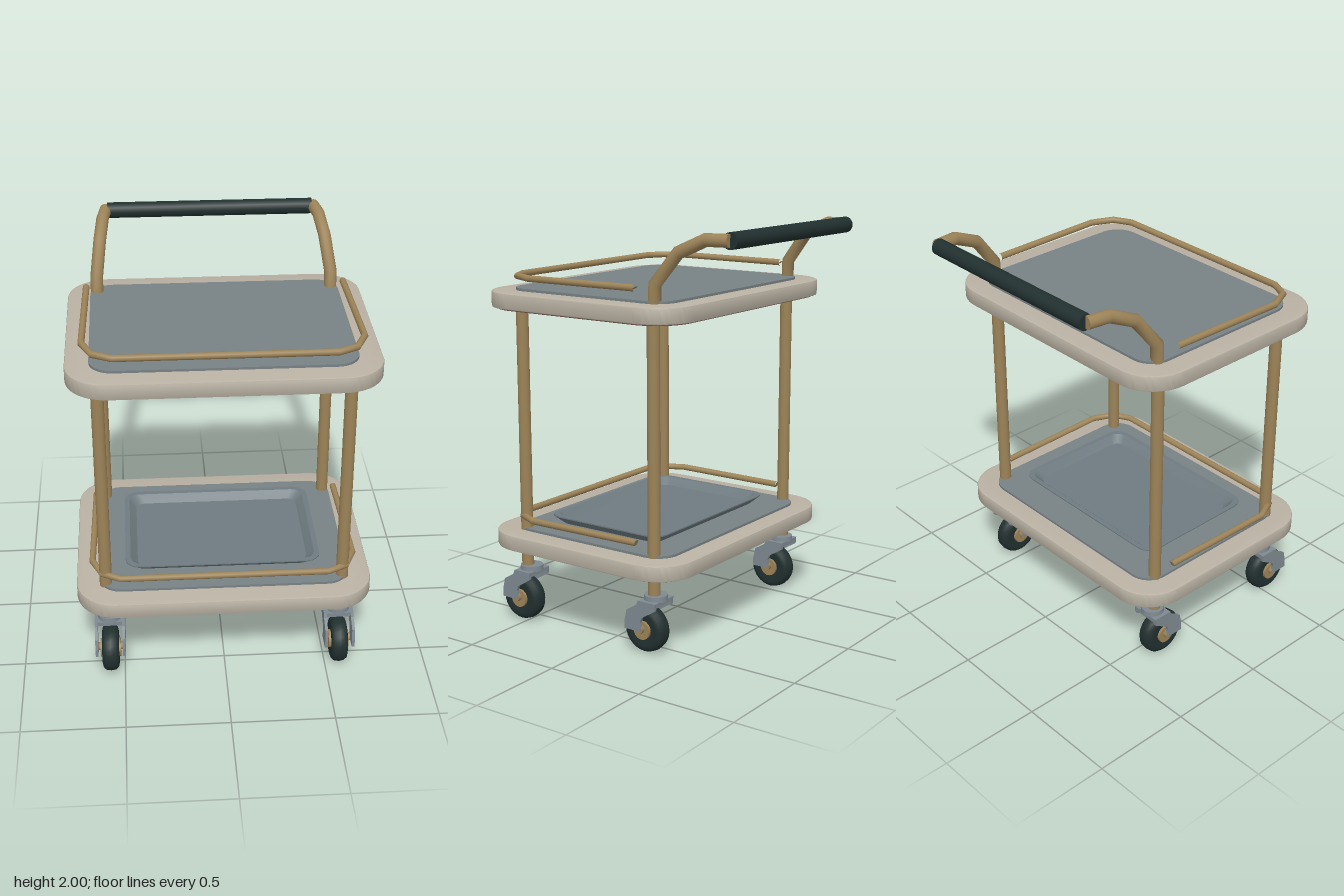
import * as THREE from 'three';
import { toCreasedNormals } from 'three/addons/utils/BufferGeometryUtils.js';

const material = (name, color) => {
  const m = new THREE.MeshStandardMaterial({ color });
  m.name = name;
  return m;
};

// Straight runs joined with mitred corners
class Polyline extends THREE.Curve {
  constructor(points) {
    super();
    this.points = points.map((p) => new THREE.Vector3(...p));
  }
  getPoint(t, target = new THREE.Vector3()) {
    const n = this.points.length - 1;
    const i = Math.min(Math.floor(t * n + 1e-6), n - 1);
    return target.lerpVectors(this.points[i], this.points[i + 1], t * n - i);
  }
  getPointAt(t, target) { return this.getPoint(t, target); }
  getTangentAt(t, target = new THREE.Vector3()) {
    const p = this.points, i = Math.round(t * (p.length - 1));
    target.set(0, 0, 0);
    if (i > 0) target.add(p[i].clone().sub(p[i - 1]).normalize());
    if (i < p.length - 1) target.add(p[i + 1].clone().sub(p[i]).normalize());
    return target.normalize();
  }
}

function roundedRect(hw, hd, r) {
  const s = new THREE.Shape();
  s.absarc(hw - r, hd - r, r, 0, Math.PI / 2);
  s.absarc(-hw + r, hd - r, r, Math.PI / 2, Math.PI);
  s.absarc(-hw + r, -hd + r, r, Math.PI, Math.PI * 1.5);
  s.absarc(hw - r, -hd + r, r, Math.PI * 1.5, Math.PI * 2);
  s.closePath();
  return s;
}

// Horizontal slab standing on y = 0
function slab(shape, height, bevel = 0) {
  const geo = new THREE.ExtrudeGeometry(shape, {
    depth: height - 2 * bevel, curveSegments: 10, bevelEnabled: bevel > 0,
    bevelSize: bevel, bevelThickness: bevel, bevelOffset: -bevel, bevelSegments: 2,
  });
  geo.translate(0, 0, bevel).rotateX(-Math.PI / 2);
  return toCreasedNormals(geo, 0.5);
}

// Skin over rounded rectangles given as [half width, half depth, radius, y]
function loft(sections) {
  const pos = [], index = [], per = 4, n = 4 * (per + 1);
  for (const [hw, hd, r, y] of sections) {
    for (let c = 0; c < 4; c++) for (let k = 0; k <= per; k++) {
      const a = (c + k / per) * Math.PI / 2;
      const sx = c === 0 || c === 3 ? 1 : -1, sz = c < 2 ? 1 : -1;
      pos.push(sx * (hw - r) + r * Math.cos(a), y, -(sz * (hd - r) + r * Math.sin(a)));
    }
  }
  for (let i = 0; i < sections.length - 1; i++) for (let j = 0; j < n; j++) {
    const a = i * n + j, b = i * n + (j + 1) % n;
    index.push(a, b, b + n, a, b + n, a + n);
  }
  const geo = new THREE.BufferGeometry();
  geo.setAttribute('position', new THREE.Float32BufferAttribute(pos, 3));
  geo.setIndex(index);
  return toCreasedNormals(geo, 0.5);
}

export function createModel() {
  const model = new THREE.Group();
  model.name = 'servingCart';
  const beige = material('beige shelf', 0xb9b1a3);
  const tan = material('tan tubing', 0x9c8358);
  const mat = material('grey mat', 0x788184);
  const trayGrey = material('tray grey', 0x6e7b80);
  const steel = material('fork grey', 0x7e8990);
  const dark = material('dark rubber', 0x21302f);
  const brown = material('brown trim', 0x6a4a40);

  const add = (parent, name, geo, mtl, x = 0, y = 0, z = 0) => {
    const mesh = new THREE.Mesh(geo, mtl);
    mesh.name = name;
    mesh.position.set(x, y, z);
    parent.add(mesh);
    return mesh;
  };
  const tube = (parent, name, points, radius) => {
    const path = new Polyline(points);
    add(parent, name, new THREE.TubeGeometry(path, points.length - 1, radius, 14), tan);
    // Flat end caps
    [0, 1].forEach((t) => {
      const cap = add(parent, name + 'Cap', new THREE.CircleGeometry(radius, 14), tan);
      cap.position.copy(path.getPointAt(t));
      cap.lookAt(cap.position.clone().addScaledVector(path.getTangentAt(t), t ? 1 : -1));
    });
  };

  // Shelves with trim, mat and guard rail
  const trimShape = roundedRect(0.695, 0.545, 0.18);
  trimShape.holes.push(roundedRect(0.68, 0.53, 0.165));
  const halfRail = [[0.627, -0.21], [0.641, 0.405], [0.592, 0.515], [0.503, 0.56]];
  const railPath = [...halfRail, ...halfRail.map(([x, z]) => [-x, z]).reverse()];
  [['lowerShelf', 0.4], ['upperShelf', 1.59]].forEach(([name, y]) => {
    const shelf = new THREE.Group();
    shelf.name = name;
    shelf.position.y = y;
    model.add(shelf);
    add(shelf, 'board', slab(roundedRect(0.72, 0.57, 0.2), 0.078, 0.008), beige, 0, 0, 0.11);
    add(shelf, 'undersideTrim', slab(trimShape, 0.012), brown, 0, -0.007, 0.11);
    add(shelf, 'mat', slab(roundedRect(0.61, 0.463, 0.11), 0.014), mat, 0, 0.076, 0.107);
    tube(shelf, 'guardRail', railPath.map(([x, z]) => [x, 0.147, z]), 0.016);
  });

  // Serving tray on the lower shelf
  add(model, 'tray', loft([
    [0.435, 0.295, 0.05, 0.491], [0.48, 0.34, 0.07, 0.53], [0.48, 0.34, 0.07, 0.536],
    [0.455, 0.315, 0.055, 0.536], [0.42, 0.28, 0.045, 0.5], [0, 0, 0, 0.5],
  ]), trayGrey, 0, 0, 0.11);

  // Posts and the push handle
  for (const side of [-1, 1]) {
    for (const z of [0.503, -0.278]) {
      add(model, 'post', new THREE.CylinderGeometry(0.03, 0.03, 1.33, 20), tan, side * 0.578, 0.945, z);
    }
    tube(model, 'handleArm', [
      [0.578, 1.6, -0.283], [0.576, 1.755, -0.287], [0.556, 1.9, -0.4],
      [0.54, 1.962, -0.535], [0.525, 1.963, -0.648],
    ].map(([x, y, z]) => [side * x, y, z]), 0.031);
  }
  const grip = add(model, 'handleGrip', new THREE.CylinderGeometry(0.039, 0.039, 1.034, 20), dark, 0, 1.961, -0.645);
  grip.rotation.z = Math.PI / 2;

  // Swivel casters
  const tyreGeo = new THREE.LatheGeometry([
    [0.045, -0.036], [0.08, -0.042], [0.1, -0.037], [0.111, -0.024], [0.115, 0],
    [0.111, 0.024], [0.1, 0.037], [0.08, 0.042], [0.045, 0.036],
  ].map(([r, y]) => new THREE.Vector2(r, y)), 28).rotateZ(Math.PI / 2);
  const hubGeo = new THREE.CylinderGeometry(0.046, 0.046, 0.1, 18).rotateZ(Math.PI / 2);
  const axleGeo = new THREE.CylinderGeometry(0.02, 0.02, 0.14, 12).rotateZ(Math.PI / 2);
  const armShape = new THREE.Shape([
    [-0.048, 0.272], [-0.045, 0.236], [0.03, 0.19], [0.04, 0.165], [0.036, 0.12],
    [0.13, 0.12], [0.13, 0.16], [0.118, 0.215], [0.06, 0.25], [0.052, 0.272],
  ].map(([z, y]) => new THREE.Vector2(z, y)));
  const armGeo = new THREE.ExtrudeGeometry(armShape, { depth: 0.014, bevelEnabled: false });
  armGeo.translate(0, 0, -0.007).rotateY(-Math.PI / 2);
  for (const x of [-0.568, 0.568]) for (const z of [0.487, -0.28]) {
    const caster = new THREE.Group();
    caster.name = 'caster';
    caster.position.set(x, 0, z);
    model.add(caster);
    add(caster, 'tyre', tyreGeo, dark, 0, 0.116, 0.05);
    add(caster, 'hub', hubGeo, tan, 0, 0.116, 0.05);
    add(caster, 'axle', axleGeo, tan, 0, 0.125, 0.05);
    add(caster, 'forkArm', armGeo, steel, -0.067);
    add(caster, 'forkArm', armGeo, steel, 0.067);
    add(caster, 'forkBridge', new THREE.BoxGeometry(0.13, 0.022, 0.1), steel, 0, 0.261, 0.002);
    add(caster, 'swivelCap', new THREE.CylinderGeometry(0.056, 0.058, 0.026, 20), steel, 0, 0.281, 0);
  }
  return model;
}
